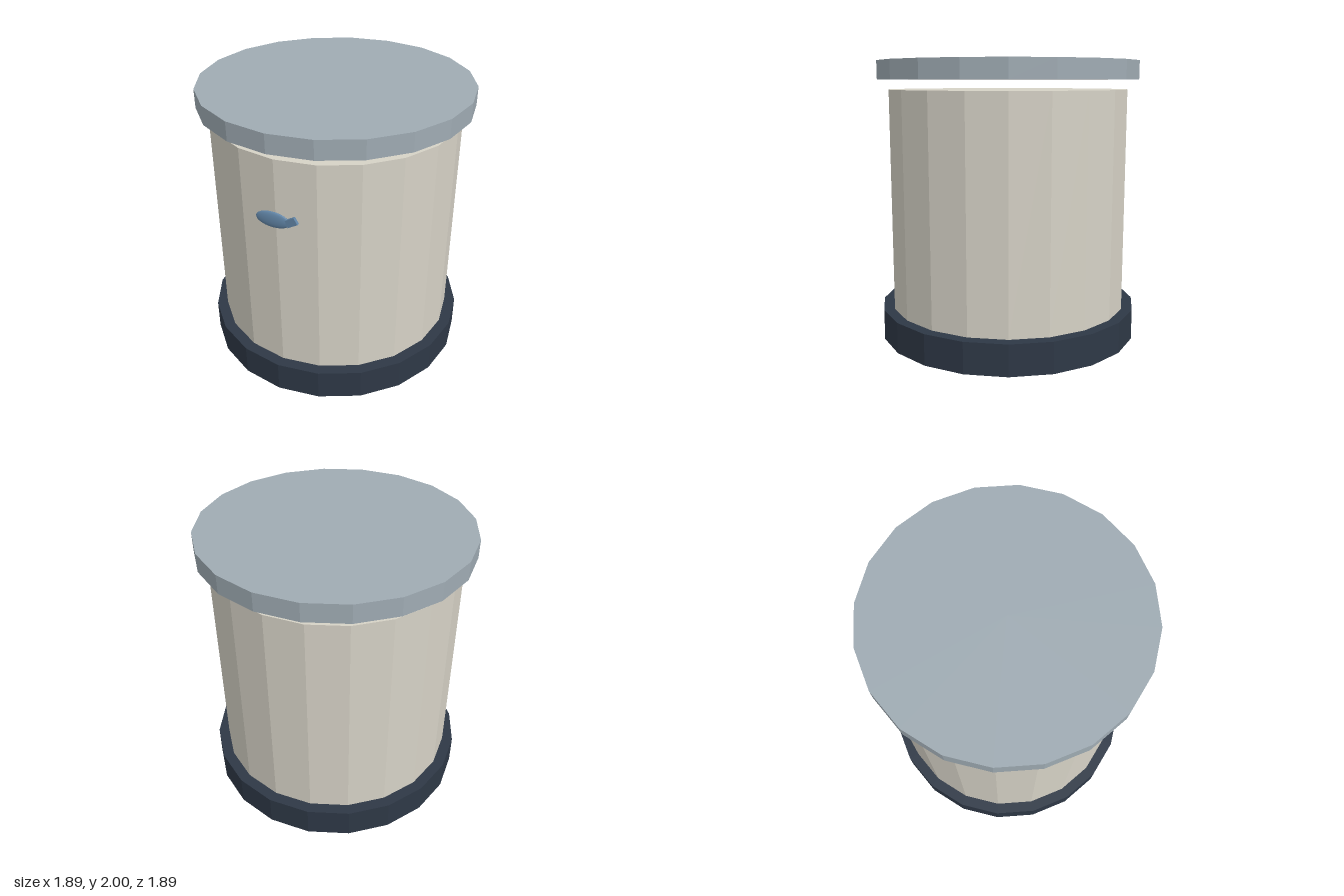
import * as THREE from 'three';

const SIDES = 20;

function material(color, flatShading = true) {
  return new THREE.MeshStandardMaterial({ color, flatShading });
}

// Closed faceted drum between two heights
function drum(name, radius, bottom, top, color) {
  const geometry = new THREE.CylinderGeometry(radius, radius, top - bottom, SIDES);
  const mesh = new THREE.Mesh(geometry, material(color));
  mesh.name = name;
  mesh.position.y = (bottom + top) / 2;
  return mesh;
}

// Small fish floating just in front of the wall
function createFish() {
  const fish = new THREE.Group();
  fish.name = 'fish';

  const body = new THREE.Mesh(new THREE.SphereGeometry(1, 24, 16), material(0x6286a8, false));
  body.name = 'fishBody';
  body.scale.set(0.12, 0.056, 0.017);

  const tail = new THREE.Mesh(new THREE.BoxGeometry(0.08, 0.05, 0.02), material(0x6286a8));
  tail.name = 'fishTail';
  tail.position.set(0.13, 0.013, 0);
  tail.rotation.z = 0.54;

  fish.add(body, tail);
  fish.position.set(0, 1.402, 0.902);
  return fish;
}

export function createModel() {
  const model = new THREE.Group();
  model.name = 'tank';
  model.add(
    drum('base', 0.945, 0, 0.22, 0x2e3846),
    drum('wall', 0.867, 0.22, 1.8, 0xd6d2c6),
    drum('lid', 0.945, 1.87, 2, 0x9fabb3),
    createFish()
  );
  return model;
}
